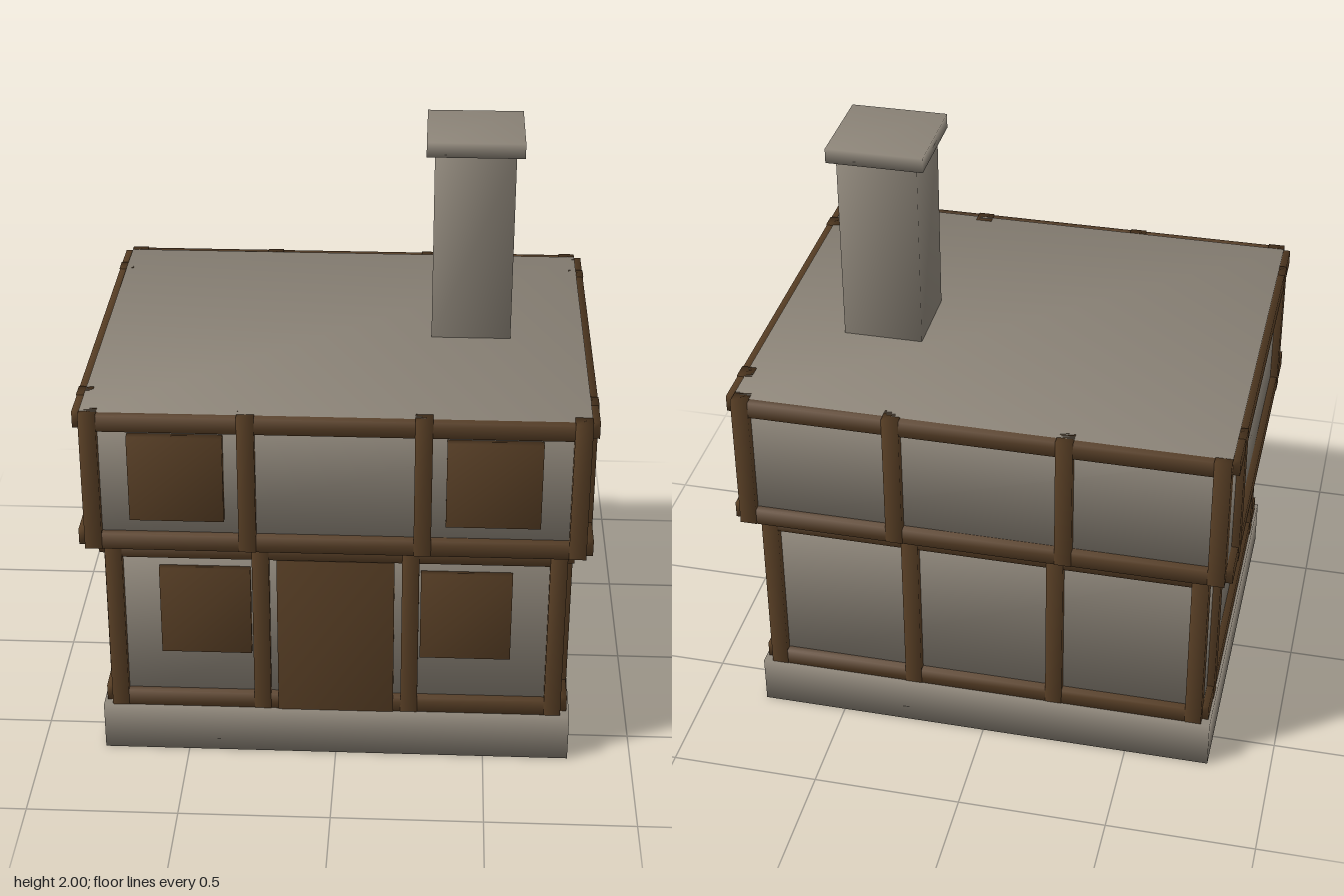
import * as THREE from 'three';
import { mergeVertices } from 'three/addons/utils/BufferGeometryUtils.js';

const stone = new THREE.MeshStandardMaterial({ name: 'stone', color: 0x8c8478 });
const timber = new THREE.MeshStandardMaterial({ name: 'timber', color: 0x5a4026 });

// Box given by its limits, with corners shared so the shading is soft
function block(parent, name, material, [x0, x1], [y0, y1], [z0, z1]) {
  let g = new THREE.BoxGeometry(x1 - x0, y1 - y0, z1 - z0);
  g.deleteAttribute('normal');
  g.deleteAttribute('uv');
  g = mergeVertices(g);
  g.computeVertexNormals();
  const mesh = new THREE.Mesh(g, material);
  mesh.name = name;
  mesh.position.set((x0 + x1) / 2, (y0 + y1) / 2, (z0 + z1) / 2);
  parent.add(mesh);
  return mesh;
}

const around = (c, half) => [c - half, c + half];

// One storey: wall block with a timber frame on all four sides
function storey(name, { x, z, y0, y1, frontPosts, sidePost }) {
  const group = new THREE.Group();
  group.name = name;
  block(group, 'walls', stone, [-x, x], [y0, y1], [-z, z]);
  const h = 0.028; // half the beam thickness
  const rails = [y0 + h, y1 - h - 0.003];
  for (const s of [-1, 1]) {
    const zBand = around(s * z, 0.027);
    const xBand = around(s * x, 0.023);
    for (const y of rails) {
      block(group, 'longRail', timber, [-x, x], around(y, h), around(s * z, 0.025));
      block(group, 'sideRail', timber, xBand, around(y, h), [-z, z]);
    }
    for (const p of frontPosts) {
      for (const m of [-1, 1]) block(group, 'longPost', timber, around(m * p, h), [y0, y1], zBand);
    }
    for (const m of [-1, 1]) {
      block(group, 'sidePost', timber, around(s * x, 0.025), [y0, y1], around(m * sidePost, h));
    }
  }
  return group;
}

export function createModel() {
  const house = new THREE.Group();
  house.name = 'house';

  // Foundation and the two storeys, the upper one overhanging
  block(house, 'foundation', stone, [-0.787, 0.787], [0, 0.17], [-0.638, 0.638]);
  house.add(storey('lowerStorey', {
    x: 0.755, z: 0.605, y0: 0.17, y1: 0.81, frontPosts: [0.728, 0.246], sidePost: 0.47,
  }));
  house.add(storey('upperStorey', {
    x: 0.81, z: 0.655, y0: 0.81, y1: 1.297, frontPosts: [0.782, 0.282], sidePost: 0.508,
  }));

  // Door and shuttered windows
  block(house, 'door', timber, [-0.193, 0.193], [0.17, 0.748], [0.6, 0.635]);
  for (const s of [-1, 1]) {
    block(house, 'lowerWindow', timber, around(s * 0.43, 0.15), [0.388, 0.71], [0.6, 0.63]);
    block(house, 'upperWindow', timber, around(s * 0.508, 0.152), [0.922, 1.223], [0.65, 0.685]);
  }

  // Chimney with its cap
  block(house, 'chimney', stone, around(0.43, 0.133), [1.29, 1.95], around(-0.078, 0.133));
  block(house, 'chimneyCap', stone, around(0.43, 0.16), [1.95, 2], around(-0.078, 0.16));
  return house;
}
